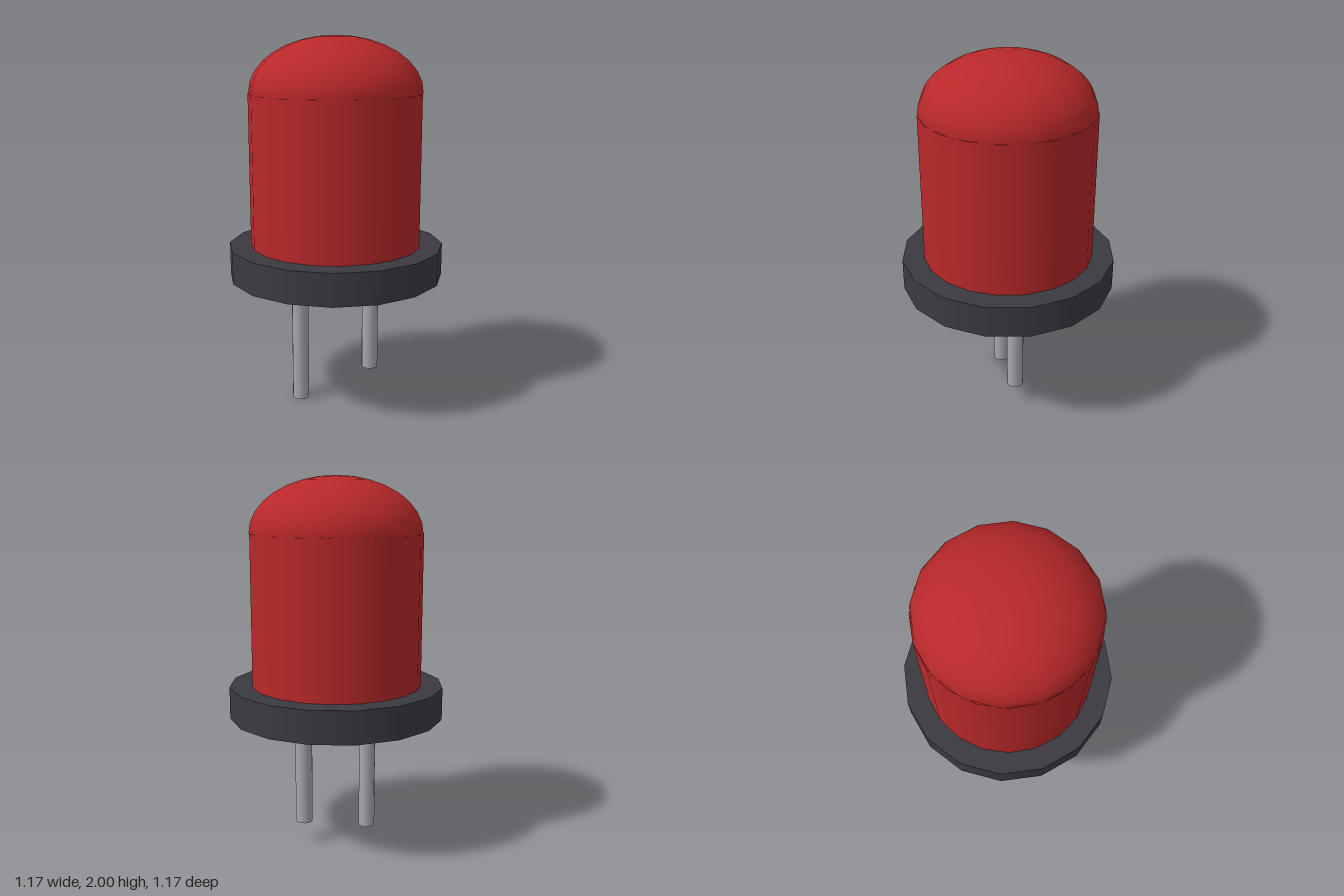
import * as THREE from 'three';

export function createModel() {
  const group = new THREE.Group();
  const red = new THREE.MeshStandardMaterial({ name: 'red lens', color: 0xb82829 });
  const dark = new THREE.MeshStandardMaterial({ name: 'dark collar', color: 0x3b3a41 });
  const metal = new THREE.MeshStandardMaterial({ name: 'lead metal', color: 0xa6a6b0 });

  function cylinder(name, radius, bottom, top, sides, material, x = 0) {
    const geometry = new THREE.CylinderGeometry(radius, radius, top - bottom, sides);
    const mesh = new THREE.Mesh(geometry, material);
    mesh.name = name;
    mesh.position.set(x, (bottom + top) / 2, 0);
    group.add(mesh);
  }

  // Wide collar and the lens barrel standing on it
  cylinder('collar', 0.585, 0.705, 0.88, 16, dark);
  cylinder('lensBody', 0.465, 0.88, 1.7, 20, red);

  // Flattened dome closing the lens
  const dome = new THREE.Mesh(
    new THREE.SphereGeometry(0.465, 16, 8, 0, Math.PI * 2, 0, Math.PI / 2), red);
  dome.name = 'lensDome';
  dome.scale.y = 0.3 / 0.465;
  dome.position.y = 1.7;
  group.add(dome);

  // Two leads of unequal length
  cylinder('longLead', 0.046, 0, 0.705, 12, metal, -0.21);
  cylinder('shortLead', 0.046, 0.12, 0.705, 12, metal, 0.21);

  return group;
}
